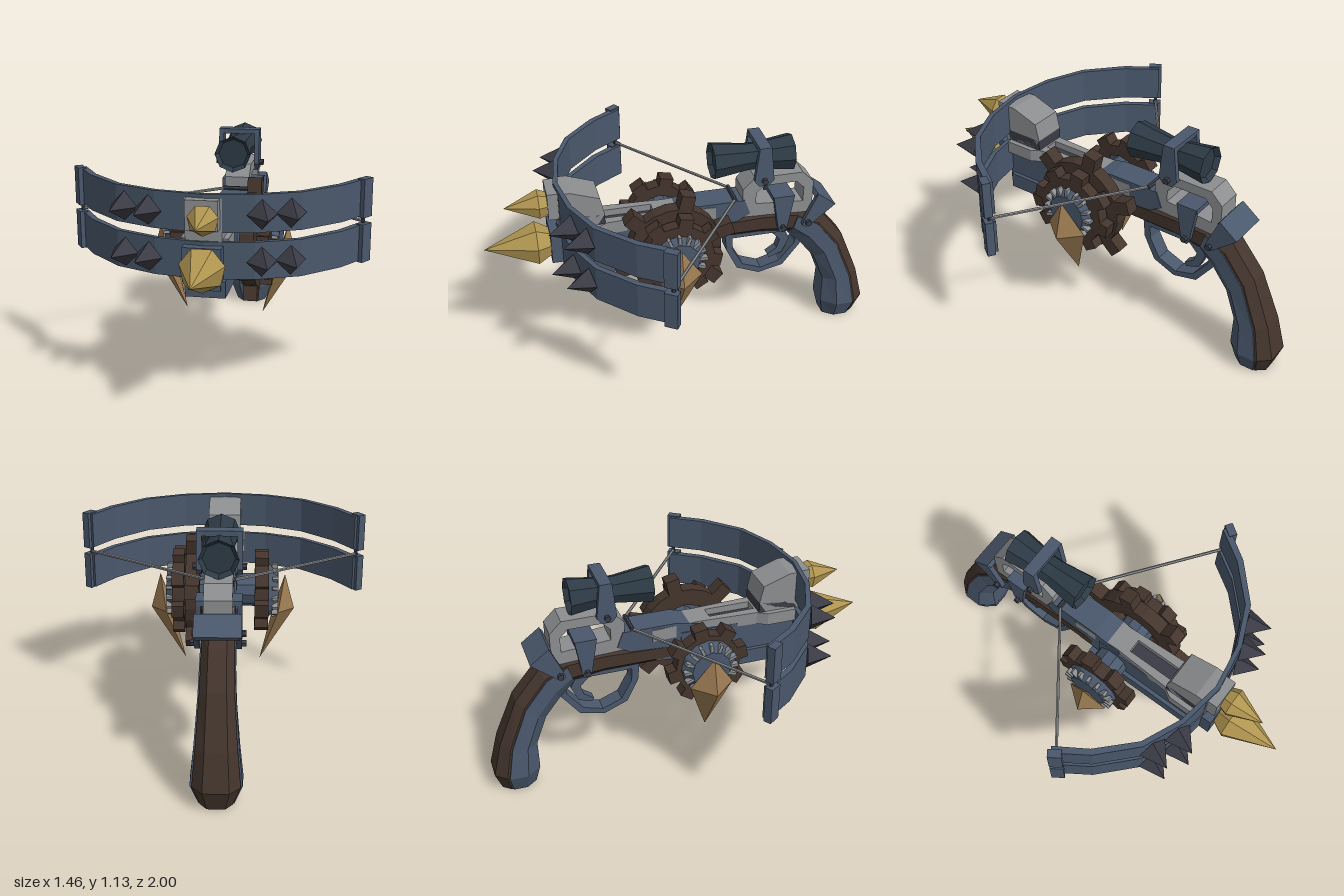
import * as THREE from 'three';

const mat = (color) => new THREE.MeshStandardMaterial({ color, flatShading: true, side: THREE.DoubleSide });
const BLUE = mat(0x4a586c), BROWN = mat(0x44352d), GOLD = mat(0xb09550), BRONZE = mat(0x9c7c52);
const GREY = mat(0x8c8e90), DARK = mat(0x3a3b45), SCOPE = mat(0x2d3a45);

const toShape = (pts, holes = []) => {
  const s = new THREE.Shape(pts.map(([a, b]) => new THREE.Vector2(a, b)));
  for (const h of holes) s.holes.push(new THREE.Path(h.map(([a, b]) => new THREE.Vector2(a, b))));
  return s;
};

// side profile in (z, y), extruded across x and centred on it
function sideProfile(pts, width, holes) {
  const g = new THREE.ExtrudeGeometry(toShape(pts, holes), { depth: width, bevelEnabled: false });
  return g.translate(0, 0, -width / 2).rotateY(-Math.PI / 2);
}

// plan outline in (x, z), extruded upward from y0 to y1
function planProfile(pts, y0, y1, holes = []) {
  const flip = (a) => a.map(([x, z]) => [x, -z]);
  const g = new THREE.ExtrudeGeometry(toShape(flip(pts), holes.map(flip)), { depth: y1 - y0, bevelEnabled: false });
  return g.rotateX(-Math.PI / 2).translate(0, y0, 0);
}

// indexed solid; triangles are turned outward by the sign of the volume
function solid(verts, idx) {
  let vol = 0;
  const v = verts.map((p) => new THREE.Vector3(...p));
  for (let i = 0; i < idx.length; i += 3) vol += v[idx[i]].dot(v[idx[i + 1]].clone().cross(v[idx[i + 2]]));
  const g = new THREE.BufferGeometry();
  g.setAttribute('position', new THREE.Float32BufferAttribute(verts.flat(), 3));
  g.setIndex(vol < 0 ? idx.slice().reverse() : idx);
  g.computeVertexNormals();
  return g;
}

function loft(rings) {
  const n = rings[0].length, idx = [], last = (rings.length - 1) * n;
  for (let r = 0; r < rings.length - 1; r++)
    for (let i = 0; i < n; i++) {
      const a = r * n + i, b = r * n + (i + 1) % n;
      idx.push(a, b, a + n, b, b + n, a + n);
    }
  for (let i = 1; i < n - 1; i++) idx.push(0, i + 1, i, last, last + i, last + i + 1);
  return solid(rings.flat(), idx);
}

// turned part along z: profile of [radius, z]
const turnedZ = (pts, sides) =>
  new THREE.LatheGeometry(pts.map(([r, z]) => new THREE.Vector2(r, z)), sides).rotateX(Math.PI / 2);

function gear(teeth, root, tip, hole, width, phase) {
  const pts = [], ring = [], at = (r, a) => [r * Math.cos(a), r * Math.sin(a)];
  for (let i = 0; i < teeth; i++) {
    const a = phase + i / teeth * Math.PI * 2, w = 0.035;
    pts.push(at(root, a - w / root), at(tip, a - w / tip), at(tip, a + w / tip), at(root, a + w / root));
    const step = Math.PI * 2 / teeth;
    pts.push(at(root, a + step * 0.36), at(root, a + step * 0.64));
  }
  for (let i = 0; i < 12; i++) ring.push(at(hole, i / 12 * Math.PI * 2));
  return sideProfile(pts, width, [ring]);
}

export function createModel() {
  const root = new THREE.Group();
  const add = (name, geo, m, x = 0, y = 0, z = 0, parent = root) => {
    const mesh = new THREE.Mesh(geo, m);
    mesh.name = name;
    mesh.position.set(x, y, z);
    parent.add(mesh);
    return mesh;
  };
  const box = (name, m, w, h, d, x, y, z, parent) => add(name, new THREE.BoxGeometry(w, h, d), m, x, y, z, parent);

  // grip: wooden core with metal cheek panels; stations are top z,y, bottom z,y, half width
  const grip = [
    [-0.05, 0.72, -0.05, 0.6, 0.07], [-0.4, 0.74, -0.4, 0.6, 0.075], [-0.6, 0.73, -0.55, 0.58, 0.075],
    [-0.72, 0.68, -0.63, 0.5, 0.075], [-0.85, 0.52, -0.71, 0.4, 0.08], [-0.95, 0.28, -0.77, 0.25, 0.095],
    [-0.995, 0.1, -0.77, 0.1, 0.11], [-0.96, 0, -0.79, 0, 0.075]];
  const section = ([tz, ty, bz, by, w], outline) =>
    outline.map(([f, t]) => [f * w, ty + (by - ty) * t, tz + (bz - tz) * t]);
  const octagon = [[-0.55, 0], [0.55, 0], [1, 0.25], [1, 0.75], [0.5, 1], [-0.5, 1], [-1, 0.75], [-1, 0.25]];
  const cheeks = [[-1.08, 0.3], [1.08, 0.3], [1.1, 0.72], [0.55, 1.04], [-0.55, 1.04], [-1.1, 0.72]];
  add('gripCore', loft(grip.map((s) => section(s, octagon))), BROWN);
  add('gripPanels', loft(grip.slice(2).map((s) => section(s, cheeks))), BLUE);

  // receiver, barrel and rail
  add('receiver', sideProfile([[0.12, 0.6], [0.12, 0.79], [-0.03, 0.82], [-0.3, 0.82], [-0.33, 0.74], [-0.12, 0.62]], 0.14), BLUE);
  box('barrel', BLUE, 0.15, 0.2, 0.62, 0, 0.66, 0.31);
  add('underBarrel', sideProfile([[0.6, 0.52], [0.6, 0.6], [-0.05, 0.6], [0, 0.52]], 0.19), BLUE);
  const railHalf = [[0.075, -0.15], [0.065, 0.1], [0.08, 0.4], [0.11, 0.45], [0.11, 0.6]];
  const rail = [...railHalf, ...railHalf.map(([x, z]) => [-x, z]).reverse()];
  add('rail', planProfile(rail, 0.74, 0.805, [[[-0.035, 0.16], [0.035, 0.16], [0.035, 0.4], [-0.035, 0.4]]]), GREY);
  box('railSlotFloor', DARK, 0.08, 0.01, 0.25, 0, 0.765, 0.28);
  add('bowMount', sideProfile([[0.63, 0.8], [0.63, 1], [0.57, 1], [0.43, 0.95], [0.41, 0.86], [0.45, 0.8]], 0.17), GREY);
  box('mountNeck', DARK, 0.17, 0.06, 0.2, 0, 0.83, 0.51);
  box('upperClamp', GREY, 0.15, 0.14, 0.06, 0, 0.93, 0.65);
  box('lowerClamp', BLUE, 0.18, 0.16, 0.06, 0, 0.7, 0.65);

  // bow limbs with end caps and spikes
  const half = [[0.7, 0.21], [0.6, 0.36], [0.43, 0.52], [0.23, 0.605], [0, 0.64]];
  const outer = [...half, ...half.slice(0, -1).reverse().map(([x, z]) => [-x, z])];
  const inner = outer.map(([x, z]) => [x * 0.965, z - 0.022]).reverse();
  for (const [name, y] of [['upperBow', 0.93], ['lowerBow', 0.71]]) {
    const bow = new THREE.Group();
    bow.name = name;
    root.add(bow);
    add('limb', planProfile([...outer, ...inner], y - 0.088, y + 0.088), BLUE, 0, 0, 0, bow);
    for (const s of [-1, 1]) {
      box('limbEnd', BLUE, 0.04, 0.188, 0.065, s * 0.695, y, 0.222, bow).rotation.y = -s * 0.6;
      for (const [x, z] of [[0.26, 0.595], [0.385, 0.543]]) {
        const spike = add('bowSpike', turnedZ([[0, 0], [0.07, 0], [0, 0.12]], 4), DARK, s * x, y - 0.005, z, bow);
        spike.rotation.y = s * 0.35;
      }
    }
  }
  add('upperTip', turnedZ([[0, 0.66], [0.05, 0.66], [0.073, 0.72], [0, 0.885]], 7), GOLD, 0.015, 0.92, 0);
  add('lowerTip', turnedZ([[0, 0.66], [0.06, 0.66], [0.108, 0.745], [0, 1]], 7), GOLD, 0.015, 0.7, 0);

  // bowstring
  for (const s of [-1, 1]) {
    const path = new THREE.LineCurve3(new THREE.Vector3(s * 0.69, 0.812, 0.215), new THREE.Vector3(s * 0.06, 0.828, -0.25));
    add('bowstring', new THREE.TubeGeometry(path, 1, 0.008, 6), GREY);
    add('stringPin', new THREE.CylinderGeometry(0.01, 0.01, 0.05, 6), DARK, s * 0.69, 0.82, 0.215);
  }
  add('stringCatch', new THREE.CylinderGeometry(0.012, 0.012, 0.14, 6).rotateZ(Math.PI / 2), DARK, 0, 0.828, -0.25);

  // side gears on a shared axle
  const gears = new THREE.Group();
  gears.name = 'gearSet';
  gears.position.set(0, 0.655, 0.085);
  root.add(gears);
  add('axle', new THREE.CylinderGeometry(0.085, 0.085, 0.5, 10).rotateZ(Math.PI / 2), BLUE, 0, 0, 0, gears);
  add('largeGear', gear(6, 0.235, 0.31, 0.15, 0.07, 1.8), BROWN, 0.145, 0, 0, gears);
  add('smallGear', gear(8, 0.18, 0.225, 0.13, 0.06, 0.2), BROWN, 0.22, 0, 0, gears);
  add('rightGear', gear(8, 0.165, 0.21, 0.11, 0.07, 0.2), BROWN, -0.2, 0, 0, gears);
  for (const s of [-1, 1]) {
    add('hubDisc', new THREE.CylinderGeometry(0.1, 0.15, 0.06, 12).rotateZ(-s * Math.PI / 2), BLUE, s * 0.255, 0, 0, gears);
    for (let i = 0; i < 16; i++) {
      const a = i / 16 * Math.PI * 2;
      const fin = box('hubFin', GREY, 0.03, 0.05, 0.015, s * 0.268, Math.cos(a) * 0.115, Math.sin(a) * 0.115, gears);
      fin.rotation.x = a;
    }
    // faceted kite-shaped blade
    const kite = [[0.32, 0.74, 0.085], [0.285, 0.57, 0.195], [0.195, 0.27, 0.085], [0.285, 0.57, -0.025],
      [0.37, 0.555, 0.085], [0.265, 0.57, 0.085]].map(([x, y, z]) => [s * x, y, z]);
    const faces = [];
    for (let i = 0; i < 4; i++) faces.push(i, (i + 1) % 4, 4, (i + 1) % 4, i, 5);
    add('kiteBlade', solid(kite, faces), BRONZE);
  }

  // trigger and guard
  add('triggerGuard', sideProfile(
    [[-0.21, 0.62], [-0.22, 0.51], [-0.28, 0.39], [-0.4, 0.34], [-0.53, 0.37], [-0.62, 0.49], [-0.64, 0.62]], 0.08,
    [[[-0.25, 0.58], [-0.255, 0.51], [-0.31, 0.41], [-0.41, 0.37], [-0.51, 0.4], [-0.59, 0.5], [-0.6, 0.58]]]), BLUE);
  add('trigger', sideProfile([[-0.44, 0.6], [-0.53, 0.6], [-0.565, 0.52], [-0.53, 0.44], [-0.46, 0.415],
    [-0.45, 0.435], [-0.5, 0.47], [-0.515, 0.52]], 0.045), BLUE);

  // scope bracket and scope
  add('scopeBracket', sideProfile(
    [[-0.29, 0.72], [-0.29, 0.88], [-0.35, 0.94], [-0.6, 0.94], [-0.66, 0.88], [-0.66, 0.7]], 0.13,
    [[[-0.36, 0.79], [-0.36, 0.85], [-0.4, 0.89], [-0.57, 0.89], [-0.61, 0.85], [-0.61, 0.77]]]), GREY);
  add('scope', turnedZ([[0, -0.18], [0.075, -0.18], [0.094, -0.205], [0.07, -0.03], [0.07, 0.03],
    [0.094, 0.205], [0.075, 0.18], [0, 0.18]], 8), SCOPE, 0, 1.032, -0.345);

  // bolted straps: position of the bolt, height, foot and head width, tilt
  for (const [name, y, z, h, foot, head, tilt, w] of [
    ['scopeStrap', 0.945, -0.385, 0.18, 0.1, 0.06, 0, 0.2],
    ['middleStrap', 0.655, -0.495, 0.18, 0.05, 0.11, 0, 0.2],
    ['rearStrap', 0.665, -0.63, 0.155, 0.05, 0.12, -0.65, 0.2]]) {
    const strap = new THREE.Group();
    strap.name = name;
    strap.position.set(0, y, z);
    strap.rotation.x = tilt;
    root.add(strap);
    const plate = [[-foot / 4, -0.03], [foot / 4, -0.03], [foot / 2, 0], [head / 2, h], [-head / 2, h], [-foot / 2, 0]];
    for (const s of [-1, 1]) {
      add('strapSide', sideProfile(plate, 0.025), BLUE, s * (w / 2 - 0.005), 0, 0, strap);
      add('bolt', new THREE.CylinderGeometry(0.016, 0.016, 0.03, 6).rotateZ(Math.PI / 2), DARK, s * (w / 2 + 0.012), 0, 0, strap);
    }
    box('strapTop', BLUE, w, 0.025, head, 0, h - 0.0125, 0, strap);
  }
  return root;
}
